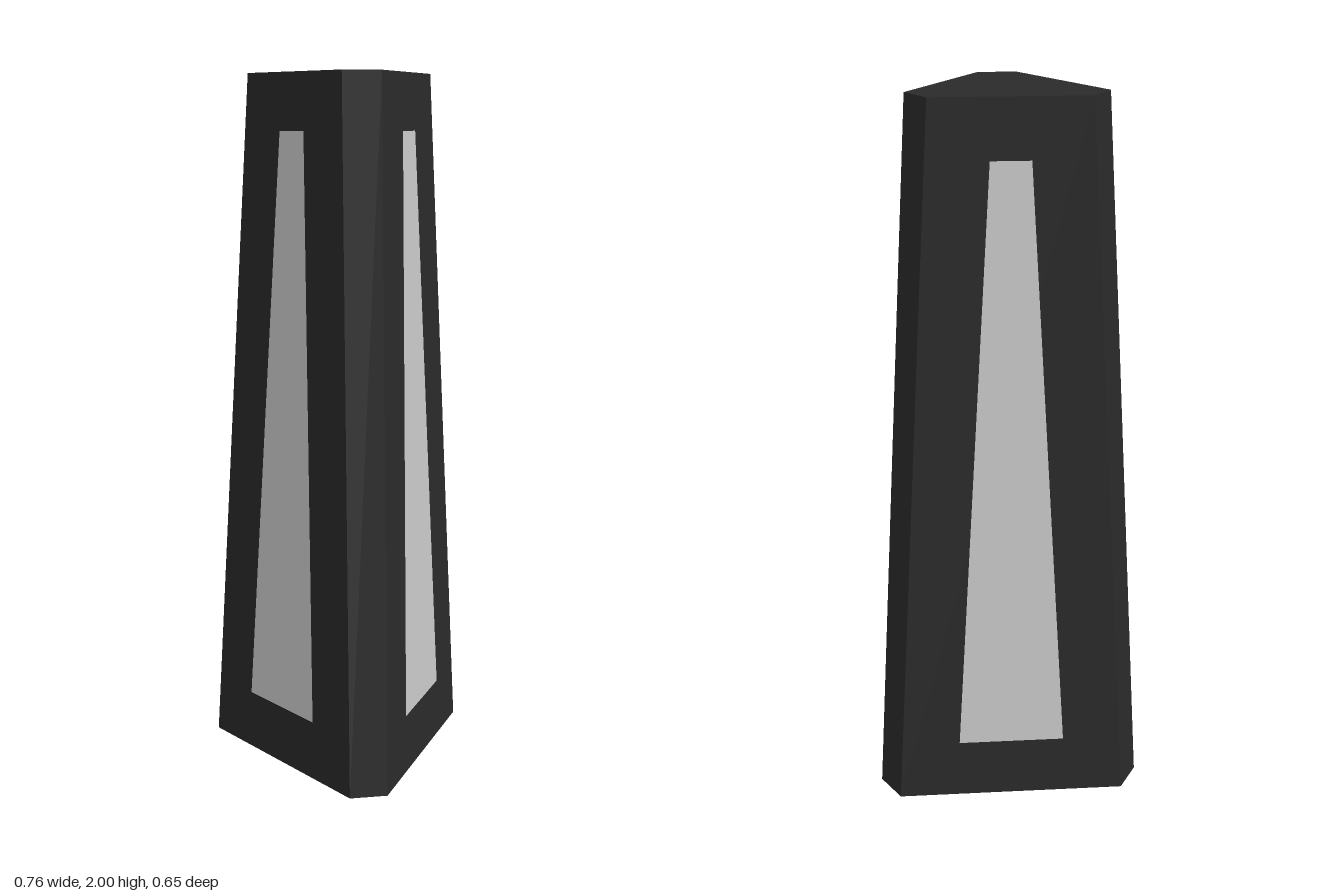
import * as THREE from 'three';

const HEIGHT = 2;
const CORNER = 0.054;          // half width of each cut-off corner
const BASE = 0.405, TOP = 0.275; // distance from axis to the cut corners
const THIRD = Math.PI * 2 / 3;

// Turn a point (sideways x, height y, outward d) about the vertical axis.
function turned(x, y, d, angle) {
  const c = Math.cos(angle), s = Math.sin(angle);
  return new THREE.Vector3(x * c + d * s, y, d * c - x * s);
}

// Flat-shaded geometry from convex polygons, corners counterclockwise from outside.
function fromPolygons(polygons) {
  const points = [];
  for (const p of polygons) {
    for (let i = 1; i < p.length - 1; i++) points.push(p[0], p[i], p[i + 1]);
  }
  const geometry = new THREE.BufferGeometry().setFromPoints(points);
  geometry.computeVertexNormals();
  return geometry;
}

// Triangle with blunted corners at one height.
function section(d, y) {
  const ring = [];
  for (let k = 0; k < 3; k++) {
    for (const x of [-CORNER, CORNER]) ring.push(turned(x, y, d, k * THIRD));
  }
  return ring;
}

// Distance from axis to a broad face at a given height.
function faceDistance(y) {
  const d = THREE.MathUtils.lerp(BASE, TOP, y / HEIGHT);
  return d / 2 + CORNER * Math.sqrt(3) / 2;
}

export function createModel() {
  const model = new THREE.Group();
  model.name = 'taperedPillar';
  const dark = new THREE.MeshStandardMaterial({ color: 0x2a2a2a, flatShading: true });
  const grey = new THREE.MeshStandardMaterial({ color: 0xcccccc, flatShading: true });

  // Tapered body with closed ends
  const low = section(BASE, 0), high = section(TOP, HEIGHT);
  const sides = low.map((p, i) => {
    const j = (i + 1) % low.length;
    return [p, low[j], high[j], high[i]];
  });
  const body = new THREE.Mesh(fromPolygons([...sides, high, [...low].reverse()]), dark);
  body.name = 'body';
  model.add(body);

  // Tapered light panel lying on each broad face
  const y0 = 0.17, y1 = 1.84, w0 = 0.15, w1 = 0.054, lift = 0.0015;
  const d0 = faceDistance(y0) + lift, d1 = faceDistance(y1) + lift;
  for (let k = 0; k < 3; k++) {
    const a = (k + 0.5) * THIRD;
    const panel = new THREE.Mesh(fromPolygons([[
      turned(-w0, y0, d0, a), turned(w0, y0, d0, a),
      turned(w1, y1, d1, a), turned(-w1, y1, d1, a),
    ]]), grey);
    panel.name = ['leftPanel', 'backPanel', 'rightPanel'][k];
    model.add(panel);
  }

  model.position.z = -0.078; // centre the depth on z = 0
  return model;
}
